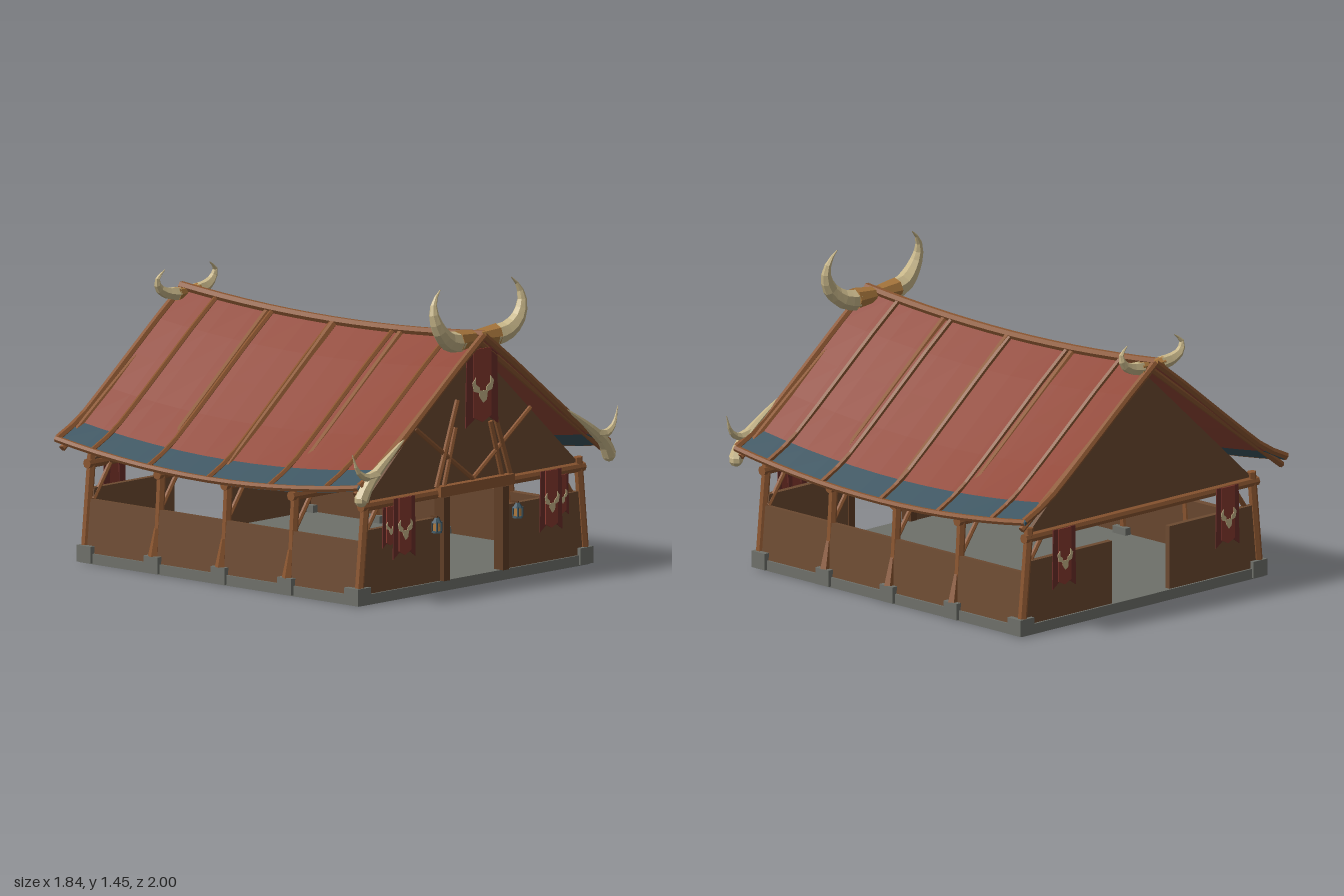
import * as THREE from 'three';

const V = (x, y, z) => new THREE.Vector3(x, y, z);
const mat = (name, color, both) => {
  const m = new THREE.MeshStandardMaterial({ color });
  m.name = name;
  if (both) m.side = THREE.DoubleSide;
  return m;
};

export function createModel() {
  const model = new THREE.Group();
  model.name = 'hornedLonghouse';

  const roofRed = mat('roof red', 0x8f4535);
  const eaveBlue = mat('eave blue', 0x3d5561);
  const timber = mat('timber', 0x8a5530);
  const darkTimber = mat('dark timber', 0x5f3d25);
  const plank = mat('plank brown', 0x6c4a31);
  const stone = mat('stone grey', 0x6e706a);
  const bone = mat('bone', 0xc6b588);
  const amber = mat('amber', 0xa8763c);
  const clothRed = mat('cloth red', 0x87392f);
  const clothDark = mat('cloth dark red', 0x6b2e29);

  // ---------- helpers ----------
  function add(name, geo, material, parent = model) {
    const g = geo.index ? geo.toNonIndexed() : geo;
    g.computeVertexNormals();
    const m = new THREE.Mesh(g, material);
    m.name = name;
    parent.add(m);
    return m;
  }
  function box(name, w, h, d, x, y, z, material, parent) {
    const m = add(name, new THREE.BoxGeometry(w, h, d), material, parent);
    m.position.set(x, y, z);
    return m;
  }
  // straight pole between two points
  function pole(name, a, b, r, material = timber, sides = 6, r2 = r) {
    const dir = b.clone().sub(a);
    const m = add(name, new THREE.CylinderGeometry(r2, r, dir.length(), sides), material);
    m.position.copy(a).add(b).multiplyScalar(0.5);
    m.quaternion.setFromUnitVectors(V(0, 1, 0), dir.normalize());
    return m;
  }
  // bent pole whose radius follows radius(t)
  function sweep(name, pts, radius, material, segs = 10, sides = 6) {
    const curve = new THREE.CatmullRomCurve3(pts);
    const geo = new THREE.TubeGeometry(curve, segs, 1, sides, false);
    const p = geo.attributes.position;
    for (let i = 0; i < p.count; i++) {
      const t = Math.floor(i / (sides + 1)) / segs;
      const c = curve.getPointAt(t);
      const v = V(0, 0, 0).fromBufferAttribute(p, i).sub(c).multiplyScalar(radius(t)).add(c);
      p.setXYZ(i, v.x, v.y, v.z);
    }
    return add(name, geo, material);
  }
  const poly = (pts) => new THREE.Shape(pts.map(([x, y]) => new THREE.Vector2(x, y)));
  const slab = (pts, depth, steps = 1) =>
    new THREE.ExtrudeGeometry(poly(pts), { depth, steps, bevelEnabled: false });

  const bays = [-0.86, -0.43, 0, 0.43, 0.86];
  const sides = [-1, 1];

  // ---------- foundation ----------
  box('foundationSlab', 1.6, 0.05, 1.79, 0, 0.025, 0, stone);
  for (const s of sides) for (const z of bays) {
    box('footingBlock', 0.09, 0.08, 0.09, s * 0.77, 0.045, z, stone);
  }

  // ---------- walls ----------
  for (const s of sides) {
    const wall = box('sideWall', 0.03, 0.255, 1.74, s * 0.762, 0.175, 0, plank);
    wall.rotation.z = s * 0.1;
    for (const z of [0.87, -0.87]) {
      const panel = add('endWall', slab([[s * 0.19, 0.05], [s * 0.775, 0.05],
        [s * 0.745, 0.355], [s * 0.19, 0.355]], 0.03), plank);
      panel.position.z = z - 0.015;
    }
    box('doorPost', 0.04, 0.4, 0.06, s * 0.205, 0.25, 0.88, darkTimber);
  }
  for (const z of [0.87, -0.87]) {
    const gable = add('gableWall', slab([[-0.74, 0.49], [0.74, 0.49], [0, 1.155]], 0.02), plank);
    gable.position.z = z - 0.01;
  }

  // ---------- timber frame ----------
  for (const z of bays) {
    const end = Math.abs(z) > 0.8;
    const pz = end ? z + Math.sign(z) * 0.02 : z;
    pole('tieBeam', V(-0.77, 0.47, pz), V(0.77, 0.47, pz), 0.024, timber, 8);
    for (const s of sides) {
      pole('wallPost', V(s * (end ? 0.782 : 0.765), 0.05, pz), V(s * 0.735, 0.52, pz), 0.022);
      pole('kneeBrace', V(s * 0.745, 0.3, z), V(s * 0.63, 0.46, z), 0.012);
      if (end) continue;
      pole('innerRafter', V(0, 1.155, z), V(s * 0.74, 0.555, z), 0.02);
      pole('wallButtress', V(s * 0.795, 0.08, z), V(s * 0.772, 0.215, z), 0.026, timber, 5, 0.012);
    }
  }
  box('doorLintel', 0.51, 0.05, 0.05, 0, 0.48, 0.895, timber);
  for (const s of sides) {
    pole('gableBrace', V(s * 0.4, 0.8, 0.885), V(0, 0.51, 0.885), 0.012);
    pole('gableStrut', V(s * 0.11, 0.9, 0.89), V(s * 0.255, 0.5, 0.89), 0.013);
    pole('gableStrut', V(s * 0.12, 0.77, 0.887), V(s * 0.2, 0.5, 0.887), 0.012);
  }

  // ---------- sagging roof ----------
  const profile = [[0, 1.2], [0.17, 1.075], [0.35, 0.935], [0.53, 0.795], [0.72, 0.655], [0.865, 0.585]];
  const zBack = -0.985, zFront = 0.955;
  const sag = (x, z) => (0.05 + 0.03 * Math.abs(x)) * (1 - (z / 0.97) ** 2);
  const roofPoint = (s, [x, y], z, lift = 0) => V(s * x, y + lift - sag(x, z), z);
  function roofSheet(name, pts, s, material) {
    const top = pts.map(([x, y]) => [s * x, y]);
    const under = pts.map(([x, y]) => [s * x, y - 0.016]).reverse();
    const geo = slab([...top, ...under], zFront - zBack, 12);
    geo.translate(0, 0, zBack);
    const p = geo.attributes.position;
    for (let i = 0; i < p.count; i++) p.setY(i, p.getY(i) - sag(p.getX(i), p.getZ(i)));
    add(name, geo, material);
  }
  const along = [-0.99, -0.75, -0.4, 0, 0.4, 0.75, 0.96];
  for (const s of sides) {
    roofSheet('roofCover', profile.slice(0, 5), s, roofRed);
    roofSheet('eaveStrip', profile.slice(4), s, eaveBlue);
    for (const z of [-0.756, -0.395, -0.013, 0.38, 0.74]) {
      sweep('roofBatten', profile.map((p) => roofPoint(s, p, z, 0.008)), () => 0.013, timber, 10, 5);
    }
    for (const z of [zBack + 0.005, zFront]) {
      sweep('vergePole', profile.map((p) => roofPoint(s, p, z, 0.004)), () => 0.018, timber, 10);
      pole('vergeRafter', V(0, 1.17, z * 0.975), V(s * 0.86, 0.545, z * 0.975), 0.016);
    }
    sweep('eavePole', along.map((z) => roofPoint(s, profile[5], z)), () => 0.016, timber, 14);
  }
  sweep('ridgePole', along.map((z) => roofPoint(1, profile[0], z, 0.01)), () => 0.021, timber, 14);

  // ---------- horns ----------
  const taper = (r, power = 1) => (t) => Math.max(0.002, r * (1 - t ** power));
  for (const s of sides) {
    // large pair on the front ridge
    pole('frontHornBand', V(s * 0.02, 1.185, 0.9), V(s * 0.135, 1.185, 0.905), 0.04, amber, 8, 0.054);
    sweep('frontRidgeHorn', [V(s * 0.12, 1.18, 0.905), V(s * 0.2, 1.195, 0.915), V(s * 0.27, 1.25, 0.925),
      V(s * 0.305, 1.33, 0.92), V(s * 0.293, 1.395, 0.91), V(s * 0.247, 1.445, 0.905)],
    taper(0.052, 1.5), bone, 9, 7);
    // small pair on the back ridge
    pole('backHornBand', V(s * 0.015, 1.185, -0.95), V(s * 0.075, 1.185, -0.95), 0.022, amber, 7, 0.034);
    sweep('backRidgeHorn', [V(s * 0.065, 1.185, -0.95), V(s * 0.13, 1.195, -0.955), V(s * 0.185, 1.225, -0.96),
      V(s * 0.2, 1.27, -0.955), V(s * 0.155, 1.31, -0.95)], taper(0.034, 1.5), bone, 8, 6);
    // forked pair on the front eaves
    sweep('eaveHorn', [V(s * 0.858, 0.525, 0.965), V(s * 0.82, 0.59, 0.97), V(s * 0.75, 0.65, 0.97),
      V(s * 0.65, 0.72, 0.968), V(s * 0.55, 0.785, 0.965)],
    (t) => 0.003 + 0.033 * (1 - t) ** 0.8, bone, 8, 7);
    add('eaveHornEnd', new THREE.SphereGeometry(0.034, 7, 5), bone).position.set(s * 0.858, 0.525, 0.965);
    sweep('eaveHornProng', [V(s * 0.76, 0.635, 0.97), V(s * 0.83, 0.63, 0.972), V(s * 0.885, 0.665, 0.97),
      V(s * 0.92, 0.75, 0.965)], taper(0.03), bone, 7, 6);
  }

  // ---------- banners ----------
  function banner(x, top, z, w, h, ry = 0) {
    const g = new THREE.Group();
    g.name = 'banner';
    g.position.set(x, top, z);
    g.rotation.y = ry;
    model.add(g);
    const a = w * 0.27, b = w * 0.5;
    add('bannerCentre', slab([[-a, 0], [a, 0], [a, -h * 0.88], [0, -h * 0.95], [-a, -h * 0.88]], 0.006), clothRed, g);
    for (const s of sides) {
      add('bannerTail', slab([[s * a * 0.7, 0], [s * b * 0.93, 0], [s * b, -h],
        [s * a * 0.85, -h * 0.9]], 0.005), clothDark, g).position.z = -0.004;
      // painted crescent halves
      add('bannerMark', slab([[s * 0.10 * w, -h * 0.5], [s * 0.22 * w, -h * 0.45], [s * 0.22 * w, -h * 0.36],
        [s * 0.33 * w, -h * 0.43], [s * 0.28 * w, -h * 0.54], [s * 0.10 * w, -h * 0.57]], 0.003), bone, g).position.z = 0.006;
    }
    add('bannerMark', slab([[-0.14 * w, -h * 0.54], [0.14 * w, -h * 0.54], [0.11 * w, -h * 0.66],
      [0, -h * 0.7], [-0.11 * w, -h * 0.62]], 0.003), bone, g).position.z = 0.007;
  }
  banner(0, 1.14, 0.945, 0.225, 0.37);
  for (const s of sides) {
    banner(s * 0.508, 0.49, 0.918, 0.155, 0.29);
    banner(s * 0.595, 0.455, 0.905, 0.1, 0.195);
    banner(s * 0.54, 0.49, -0.918, 0.155, 0.29, Math.PI);
  }

  // ---------- lanterns ----------
  for (const s of sides) {
    const g = new THREE.Group();
    g.name = 'lantern';
    g.position.set(s * 0.28, 0.29, 0.915);
    model.add(g);
    const part = (name, rTop, rBottom, h, y, m) =>
      add(name, new THREE.CylinderGeometry(rTop, rBottom, h, 6), m, g).position.set(0, y, 0);
    part('lanternBase', 0.024, 0.026, 0.01, 0.005, eaveBlue);
    part('lanternGlow', 0.017, 0.02, 0.04, 0.03, amber);
    part('lanternCap', 0.01, 0.026, 0.025, 0.06, eaveBlue);
    for (let i = 0; i < 4; i++) {
      const t = (i + 0.5) * Math.PI / 2;
      box('lanternBar', 0.006, 0.045, 0.006, Math.cos(t) * 0.022, 0.03, Math.sin(t) * 0.022, eaveBlue, g);
    }
    box('lanternBracket', 0.01, 0.01, 0.04, 0, 0.075, -0.015, darkTimber, g);
  }

  return model;
}
